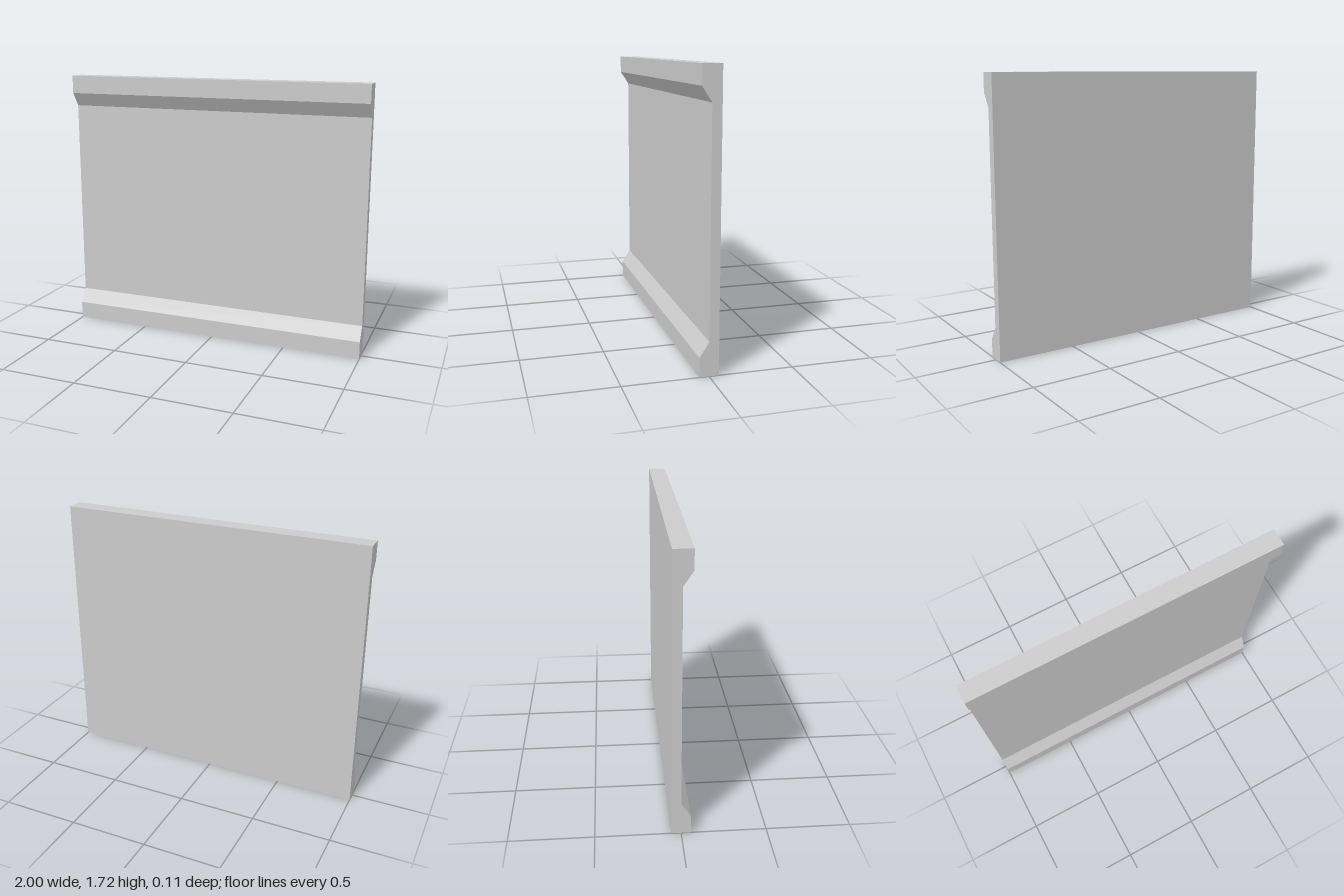
import * as THREE from 'three';

const LENGTH = 2, HEIGHT = 1.718;
const FRONT = 0.057, BACK = -0.057, FACE = 0; // z of the rails, back and recessed face
const RAIL = 0.115, SLOPE_END = 0.202;        // rail height and where its bevel meets the face

export function createModel() {
  const group = new THREE.Group();
  group.name = 'wallPanel';

  // Side profile in (z, y): flat back, thick rails at top and bottom, bevels into a thin web
  const profile = new THREE.Shape([
    [BACK, 0], [FRONT, 0], [FRONT, RAIL], [FACE, SLOPE_END],
    [FACE, HEIGHT - SLOPE_END], [FRONT, HEIGHT - RAIL], [FRONT, HEIGHT], [BACK, HEIGHT],
  ].map(([z, y]) => new THREE.Vector2(z, y)));

  // Run the profile along x
  const geometry = new THREE.ExtrudeGeometry(profile, { depth: LENGTH, bevelEnabled: false });
  geometry.translate(0, 0, -LENGTH / 2).rotateY(-Math.PI / 2);

  const panel = new THREE.Mesh(
    geometry,
    new THREE.MeshStandardMaterial({ color: 0xcccccc, flatShading: true }),
  );
  panel.name = 'panelWithRails';
  group.add(panel);
  return group;
}
